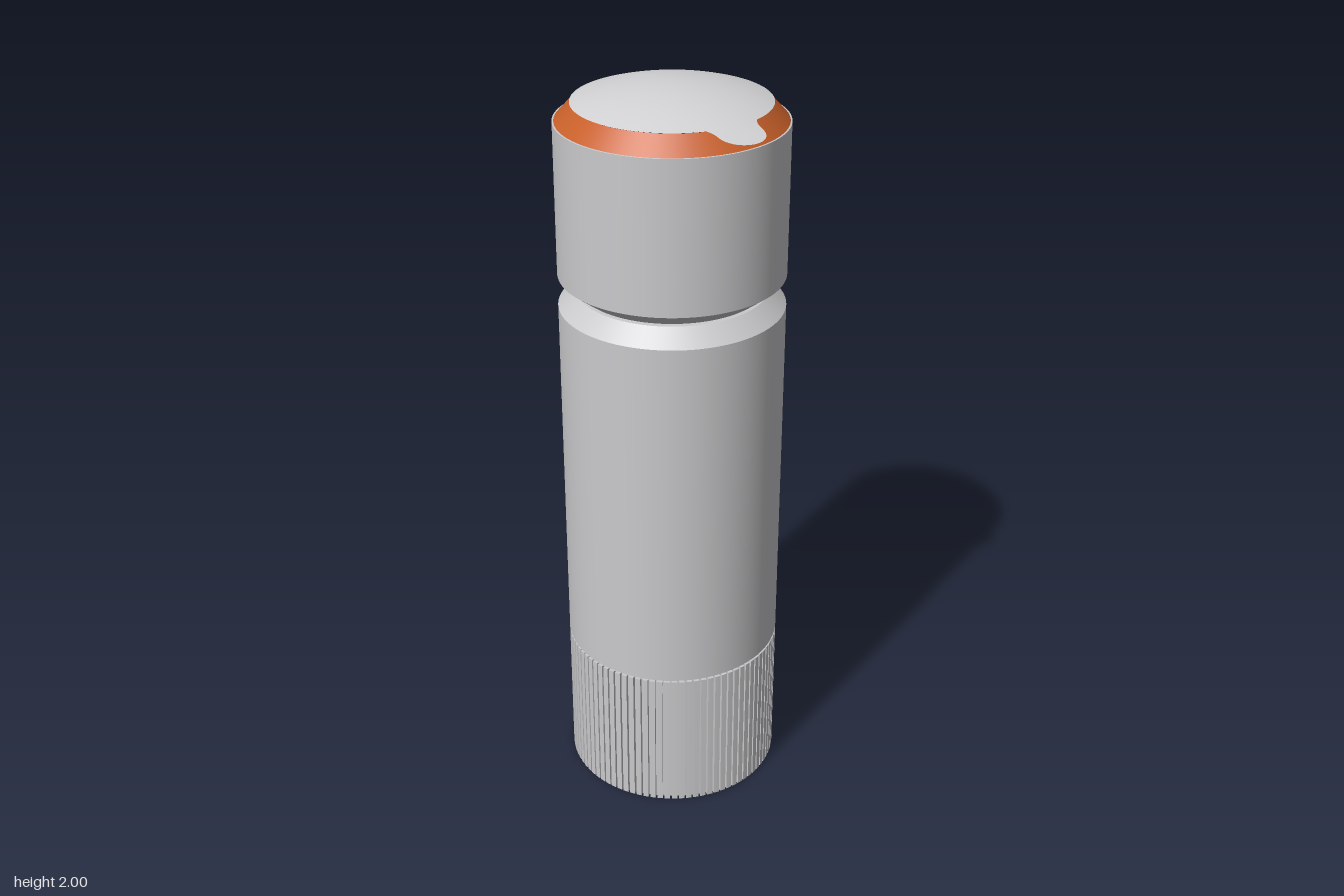
import * as THREE from 'three';

const CX = -0.02;    // axis of the canister; the tab sticks out towards +x
const R = 0.296;
const DOME_R = 0.252, DOME_Y = 1.957, DOME_H = 0.043;

const mat = (name, color, side = THREE.FrontSide) => {
  const m = new THREE.MeshStandardMaterial({ color, side });
  m.name = name;
  return m;
};

// Height of the foil lid at a distance from the axis; beyond the dome it flares out
function lidHeight(r) {
  if (r <= DOME_R) return DOME_Y + DOME_H * (1 - (r / DOME_R) ** 2);
  const t = r - DOME_R;
  return DOME_Y - 0.34 * t + 1.3 * t * t;
}

// Sharp-edged turned part: one smooth band for each pair of [radius, y], bottom to top
function turned(name, profile, material) {
  const group = new THREE.Group();
  group.name = name;
  for (let i = 0; i + 1 < profile.length; i++) {
    const [r0, y0] = profile[i], [r1, y1] = profile[i + 1];
    const band = new THREE.Mesh(new THREE.CylinderGeometry(r1, r0, y1 - y0, 128, 1, true), material);
    band.position.y = (y0 + y1) / 2;
    band.name = name + 'Band';
    group.add(band);
  }
  return group;
}

// Grip ring with narrow vertical slots
function ribbedGrip(height, material) {
  const shape = new THREE.Shape();
  const ribs = 90, step = (Math.PI * 2) / ribs;
  for (let i = 0; i < ribs; i++) {
    [[0, R - 0.012], [0.0, R], [0.38, R], [0.76, R], [0.76, R - 0.012]].forEach(([f, r], k) => {
      const a = (i + f) * step;
      const x = r * Math.cos(a), y = r * Math.sin(a);
      if (i === 0 && k === 0) shape.moveTo(x, y);
      else shape.lineTo(x, y);
    });
  }
  shape.closePath();
  const geo = new THREE.ExtrudeGeometry(shape, { depth: height, bevelEnabled: false });
  geo.rotateX(-Math.PI / 2);
  const mesh = new THREE.Mesh(geo, material);
  mesh.name = 'ribbedGrip';
  return mesh;
}

// Pull tab: thin sheet following the lid, with filleted neck and round tip
function pullTab(material) {
  const x0 = 0.2, x1 = 0.335, neck = 0.272, nx = 32, nz = 16;
  const halfWidth = (x) => {
    if (x > neck) return 0.063 * Math.sqrt(Math.max(0, 1 - ((x - neck) / (x1 - neck)) ** 2));
    const t = (neck - x) / (neck - x0);
    return 0.063 + 0.058 * t ** 1.9;
  };
  const geo = new THREE.PlaneGeometry(1, 1, nx, nz);
  const p = geo.attributes.position;
  for (let i = 0; i < p.count; i++) {
    const u = p.getX(i) + 0.5;
    const x = x0 + (x1 - x0) * Math.sin(u * Math.PI / 2);
    const z = -p.getY(i) * 2 * halfWidth(x);
    p.setXYZ(i, x, lidHeight(Math.hypot(x, z)) + 0.0008, z);
  }
  geo.computeVertexNormals();
  const mesh = new THREE.Mesh(geo, material);
  mesh.name = 'pullTab';
  return mesh;
}

export function createModel() {
  const model = new THREE.Group();
  model.name = 'canister';
  const shell = mat('light grey shell', 0xcacacc);
  const foil = mat('silver foil', 0xd2d2d4, THREE.DoubleSide);
  const orange = mat('orange rim', 0xc8602a);

  const canister = new THREE.Group();
  canister.name = 'canisterParts';
  canister.position.x = CX;
  model.add(canister);

  // Base grip and the fine seam above it
  canister.add(ribbedGrip(0.411, shell));
  canister.add(turned('seam', [[R - 0.008, 0.408], [R - 0.008, 0.42]], shell));

  // Main body with chamfered shoulder
  const bodyBottom = new THREE.Mesh(new THREE.CircleGeometry(R, 128).rotateX(Math.PI / 2), shell);
  bodyBottom.position.y = 0.418;
  bodyBottom.name = 'bodyBottom';
  canister.add(bodyBottom);
  canister.add(turned('body', [[R, 0.418], [R, 1.42], [0.25, 1.463], [0.22, 1.464]], shell));

  // Narrow neck and the cap above the groove
  canister.add(turned('neck', [[0.22, 1.46], [0.22, 1.472]], shell));
  canister.add(turned('cap', [[0.22, 1.467], [0.245, 1.468], [R, 1.507], [R, 1.91], [0.29, 1.9105]], shell));

  // Sloping coloured rim under the lid
  canister.add(turned('rim', [[0.292, 1.91], [0.25, 1.956]], orange));

  // Domed foil lid
  const profile = [];
  for (let i = 0; i <= 16; i++) {
    const r = DOME_R * (1 - i / 16);
    profile.push(new THREE.Vector2(r, lidHeight(r)));
  }
  const lid = new THREE.Mesh(new THREE.LatheGeometry(profile, 128), foil);
  lid.name = 'foilLid';
  canister.add(lid, pullTab(foil));

  return model;
}
